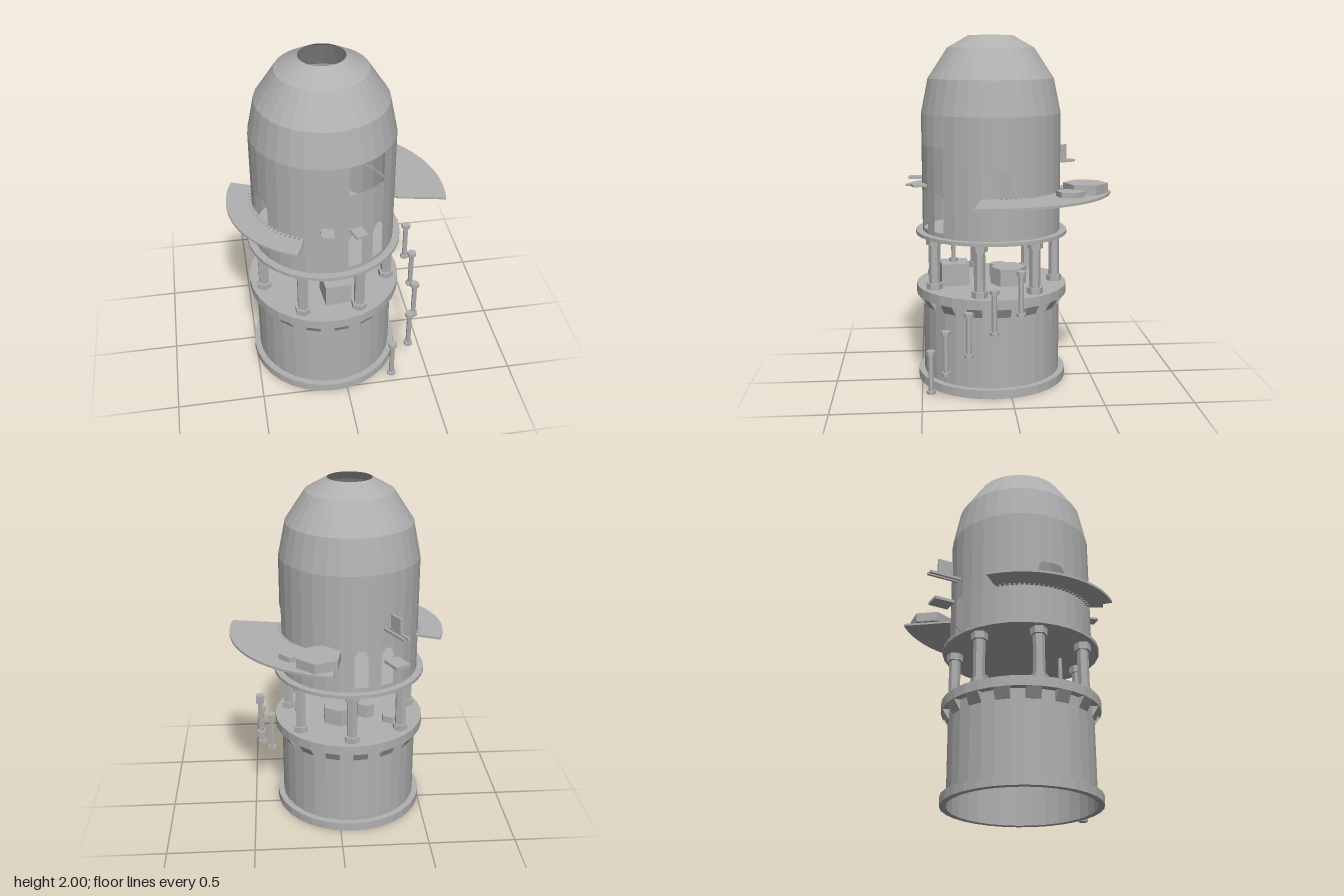
import * as THREE from 'three';
import { mergeGeometries } from 'three/addons/utils/BufferGeometryUtils.js';

const stone = new THREE.MeshStandardMaterial({ color: 0xb0b0b0, flatShading: true, side: THREE.DoubleSide });
stone.name = 'stone grey';

const SEG = 32, STEP = Math.PI * 2 / SEG, R = 0.4, CX = -0.075, CZ = 0.085;
const rad = d => d * Math.PI / 180;

export function createModel() {
  const model = new THREE.Group();
  const tower = new THREE.Group();
  tower.name = 'tower';
  tower.position.set(CX, 0, CZ);
  model.add(tower);

  const add = (name, geo, parent = tower) => {
    const m = new THREE.Mesh(geo, stone);
    m.name = name;
    parent.add(m);
    return m;
  };
  const lathe = (...pts) => new THREE.LatheGeometry(pts.map(p => new THREE.Vector2(...p)), SEG);
  const prism = (r, y0, y1, x = 0, z = 0, n = 6) =>
    new THREE.CylinderGeometry(r, r, y1 - y0, n).translate(x, (y0 + y1) / 2, z);
  // box at a compass angle (0 = front, 90 = +x), spanning radii r0..r1
  const radialBox = (deg, r0, r1, w, y0, y1, side = 0) =>
    new THREE.BoxGeometry(w, y1 - y0, r1 - r0).translate(side, (y0 + y1) / 2, (r0 + r1) / 2).rotateY(rad(deg));

  // lower drum, open underneath
  add('lowerDrum', lathe([R, 0], [R, 0.53]));
  add('baseRing', lathe([R, 0], [0.435, 0], [0.435, 0.05], [R, 0.05]));
  add('middlePlatform', prism(0.44, 0.515, 0.57, 0, 0, SEG));
  add('upperPlatform', prism(0.44, 0.87, 0.89, 0, 0, SEG));

  // sloping brackets under the middle platform
  const wedge = new THREE.Shape([[0.39, 0.46], [0.402, 0.46], [0.435, 0.515], [0.39, 0.515]]
    .map(p => new THREE.Vector2(...p)));
  const brackets = [];
  for (let i = 0; i < 16; i++) {
    brackets.push(new THREE.ExtrudeGeometry(wedge, { depth: 0.08, bevelEnabled: false })
      .translate(0, 0, -0.04).rotateY((2 * i + 0.5) * STEP - Math.PI / 2));
  }
  add('brackets', mergeGeometries(brackets));

  // seven hexagonal columns with feet and capitals
  for (let i = 0; i < 7; i++) {
    const a = rad(178.8) + i * Math.PI * 2 / 7, x = 0.37 * Math.sin(a), z = 0.37 * Math.cos(a);
    add('column', mergeGeometries([
      prism(0.046, 0.57, 0.605, x, z), prism(0.032, 0.6, 0.84, x, z), prism(0.046, 0.83, 0.87, x, z)]));
  }

  // furniture on the middle platform
  add('block', new THREE.BoxGeometry(0.15, 0.13, 0.16).rotateY(0.08).translate(0.035, 0.635, 0.22));
  add('rod', mergeGeometries([prism(0.012, 0.7, 0.87, 0.03, 0.225), prism(0.026, 0.7, 0.72, 0.03, 0.225)]));
  add('hexTable', prism(0.105, 0.57, 0.67, 0.06, -0.095));
  add('hexStool', prism(0.055, 0.57, 0.65, -0.1, -0.05));
  add('hexStool', prism(0.055, 0.57, 0.61, -0.24, -0.13));

  // upper wall: one flat panel per side, cut where there is an opening
  const Y0 = 0.88, Y1 = 1.565, H = R * Math.sin(STEP / 2);
  const openings = {};
  const open = (i, y0, y1, left, right) => { openings[i] = { y0, y1, left, right }; };
  for (const i of [1, 3, 16, 18]) open(i, 0.915, 1.135, 1, 1);   // narrow doors
  for (const i of [7, 25]) {                                     // balcony doors
    open(i, 1.12, 1.265, 1, 0);
    open(i + 1, 1.12, 1.265, 0, 1);
  }
  for (const i of [1, 2, 3]) openings['w' + i] = true;           // wide window
  const panels = [];
  const panel = (i, pts) => panels.push(new THREE.ShapeGeometry(
    new THREE.Shape(pts.map(p => new THREE.Vector2(...p))))
    .translate(0, 0, R * Math.cos(STEP / 2)).rotateY((i + 0.5) * STEP));
  for (let i = 0; i < SEG; i++) {
    const o = openings[i], top = openings['w' + i] ? 1.39 : Y1;
    if (!o) {
      panel(i, [[-H, Y0], [H, Y0], [H, top], [-H, top]]);
      continue;
    }
    const c = 0.035, k = 0.022;
    panel(i, [[-H, Y0], [H, Y0], [H, o.y0], [-H, o.y0]]);
    const arch = [[-H, o.y1 - c * o.left]];
    if (o.left) arch.push([-H + k, o.y1]);
    if (o.right) arch.push([H - k, o.y1]);
    arch.push([H, o.y1 - c * o.right], [H, top], [-H, top]);
    panel(i, arch);
  }
  add('upperWall', mergeGeometries(panels));

  // faceted dome with an open top
  add('dome', lathe([R, Y1], [0.36, 1.76], [0.248, 1.93], [0.125, 2]));

  // curved balconies, joined to the wall by small teeth
  const balcony = (name, d0, d1, outer) => {
    const shape = new THREE.Shape();
    shape.absarc(0, 0, outer, rad(d0 - 90), rad(d1 - 90), false);
    shape.absarc(0, 0, 0.42, rad(d1 - 90), rad(d0 - 90), true);
    const parts = [new THREE.ExtrudeGeometry(shape, { depth: 0.013, bevelEnabled: false, curveSegments: 24 })
      .rotateX(-Math.PI / 2).translate(0, 1.112, 0).toNonIndexed()];
    for (let i = 0; i < 24; i++) {
      parts.push(radialBox(d0 + (i + 0.5) * (d1 - d0) / 24, 0.392, 0.424, 0.017, 1.112, 1.125).toNonIndexed());
    }
    add(name, mergeGeometries(parts));
  };
  balcony('largeBalcony', 78.75, 168.75, 0.69);
  balcony('smallBalcony', 247.5, 337.5, 0.542);

  // hexagonal slabs on the large balcony
  add('largeHexSlab', new THREE.CylinderGeometry(0.127, 0.127, 0.055, 6).rotateY(rad(169)).translate(0.2, 1.153, -0.52));
  add('smallHexSlab', new THREE.CylinderGeometry(0.08, 0.08, 0.03, 6).rotateY(rad(163)).translate(0.333, 1.14, -0.415));

  // small ledges on the front
  add('frontLedge', radialBox(-5.6, 0.39, 0.478, 0.068, 1.183, 1.196));
  add('doorLedge', radialBox(16.9, 0.39, 0.478, 0.068, 1.16, 1.172));

  // hoist over the back door: two rails, an upright board and a hanging plate
  for (const s of [-1, 1]) add('hoistRail', radialBox(207, 0.39, 0.585, 0.014, 1.243, 1.258, s * 0.014));
  add('hoistBoard', radialBox(207, 0.44, 0.53, 0.012, 1.258, 1.35));
  add('hoistPlate', radialBox(207, 0.445, 0.56, 0.092, 1.075, 1.092));

  // free-standing posts climbing around the tower
  for (const [x, y, z] of [[0.28, 0.015, 0.45], [0.395, 0.163, 0.367], [0.45, 0.28, 0.243],
    [0.457, 0.405, 0.105], [0.45, 0.505, -0.04]]) {
    add('stepPost', mergeGeometries([prism(0.027, y, y + 0.018, x, z),
      prism(0.015, y + 0.01, y + 0.24, x, z), prism(0.027, y + 0.227, y + 0.25, x, z)]), model);
  }
  return model;
}
